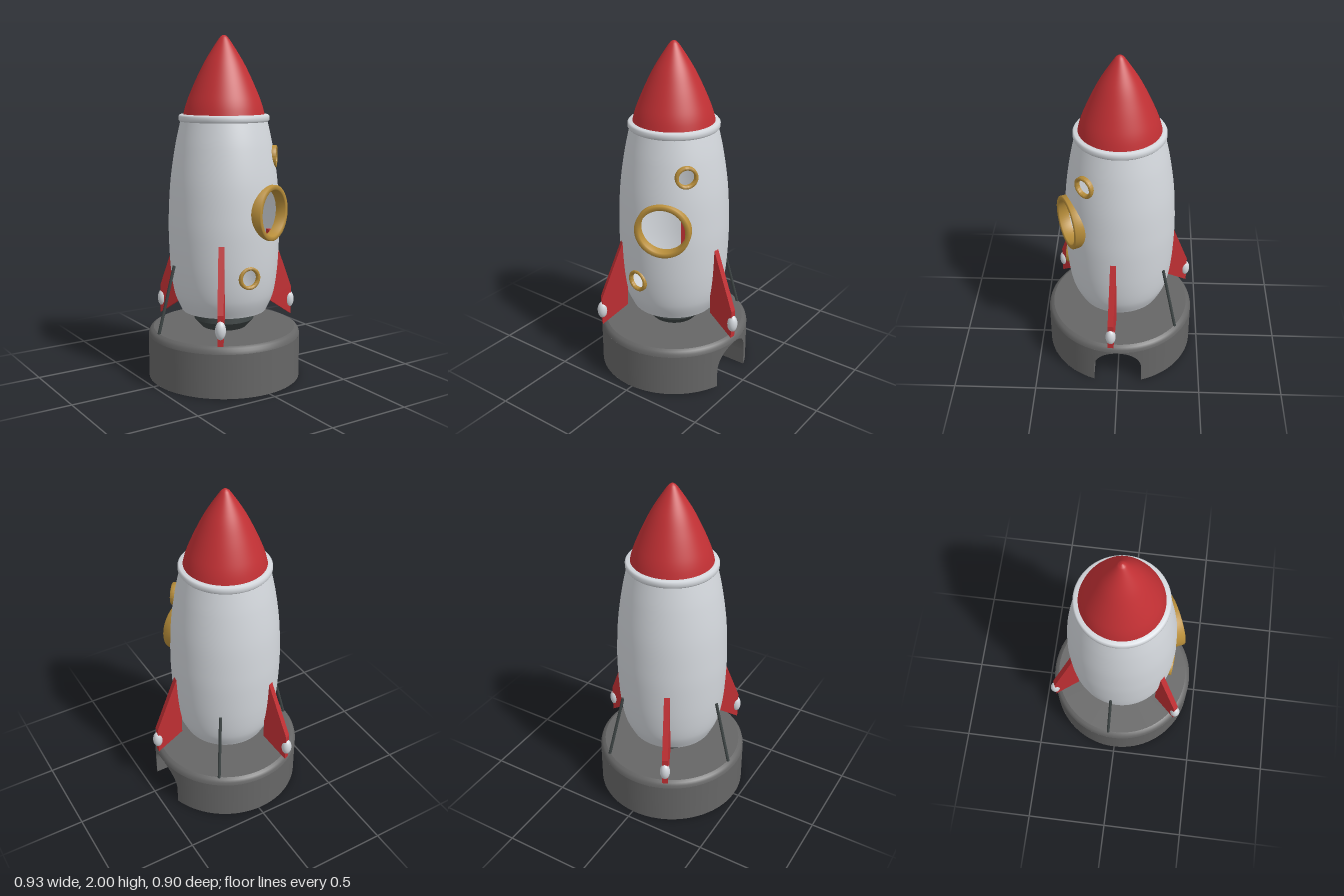
import * as THREE from 'three';
import { toCreasedNormals } from 'three/addons/utils/BufferGeometryUtils.js';

const paint = (name, color) => {
  const m = new THREE.MeshStandardMaterial({ color, side: THREE.DoubleSide });
  m.name = name;
  return m;
};

const rad = THREE.MathUtils.degToRad;
const vecs = (list) => list.map(([x, y]) => new THREE.Vector2(x, y));

// Smooth profile through a few radius/height points
const smooth = (list, n) => new THREE.SplineCurve(vecs(list)).getPoints(n);

// Surface patch from a function of u and v in 0..1
function grid(fn, nu, nv) {
  const pos = [], index = [];
  for (let i = 0; i <= nu; i++)
    for (let j = 0; j <= nv; j++) pos.push(...fn(i / nu, j / nv));
  for (let i = 0; i < nu; i++)
    for (let j = 0; j < nv; j++) {
      const a = i * (nv + 1) + j, b = a + nv + 1;
      index.push(a, b, b + 1, a, b + 1, a + 1);
    }
  const g = new THREE.BufferGeometry();
  g.setAttribute('position', new THREE.Float32BufferAttribute(pos, 3));
  g.setIndex(index);
  g.computeVertexNormals();
  return g;
}

// Portholes: angle from the front toward +x, height, ring radii, radial extent
const PORTHOLES = [
  { name: 'mainPorthole', angle: 25, y: 1.0, outer: 0.16, inner: 0.132, from: 0.275, to: 0.34 },
  { name: 'upperPorthole', angle: 50, y: 1.31, outer: 0.065, inner: 0.046, from: 0.282, to: 0.308 },
  { name: 'lowerPorthole', angle: -5.5, y: 0.645, outer: 0.065, inner: 0.046, from: 0.305, to: 0.327 },
];

// Hull shell with the faces inside each porthole left out
function hullGeometry() {
  const profile = smooth([[0.25, 0.4], [0.292, 0.5], [0.315, 0.65], [0.325, 0.85], [0.323, 1.0],
    [0.311, 1.18], [0.283, 1.37], [0.248, 1.53]], 120);
  const g = new THREE.LatheGeometry(profile, 192, Math.PI);
  const p = g.attributes.position, old = g.index.array, kept = [];
  const c = new THREE.Vector3(), v = new THREE.Vector3();
  for (let i = 0; i < old.length; i += 3) {
    c.set(0, 0, 0);
    for (let k = 0; k < 3; k++) c.add(v.fromBufferAttribute(p, old[i + k]));
    c.divideScalar(3);
    const open = PORTHOLES.some((w) => {
      const s = Math.sin(rad(w.angle)), t = Math.cos(rad(w.angle));
      return c.x * s + c.z * t > 0 && Math.hypot(c.x * t - c.z * s, c.y - w.y) < (w.inner + w.outer) / 2;
    });
    if (!open) kept.push(old[i], old[i + 1], old[i + 2]);
  }
  g.setIndex(kept);
  return g;
}

export function createModel() {
  const white = paint('hull white', 0xd3d7dc);
  const red = paint('red', 0xc23034);
  const gold = paint('brass', 0xb88e3a);
  const grey = paint('base grey', 0x666666);
  const dark = paint('dark metal', 0x3e4545);

  const model = new THREE.Group();
  model.name = 'rocket';
  const root = new THREE.Group();
  root.name = 'rocketOnBase';
  root.position.x = -0.017;
  model.add(root);
  const add = (name, geo, mat, parent = root) => {
    const m = new THREE.Mesh(geo, mat);
    m.name = name;
    parent.add(m);
    return m;
  };
  // Group whose +x points outward at an angle measured from +x toward +z
  const spoke = (name, deg) => {
    const g = new THREE.Group();
    g.name = name;
    g.rotation.y = -rad(deg);
    root.add(g);
    return g;
  };

  // Round base with an arched tunnel on the +x side
  const R = 0.45, H = 0.145, spring = 0.105, back = 0.18, wallTop = 0.255;
  const a0 = Math.asin(H / R);
  const archY = (z) => spring + Math.sqrt(Math.max(0, H * H - z * z));
  add('baseWall', new THREE.CylinderGeometry(R, R, wallTop, 96, 1, true,
    Math.PI / 2 + a0, 2 * Math.PI - 2 * a0).translate(0, wallTop / 2, 0), grey);
  add('wallOverArch', grid((u, v) => {
    const z = -H * Math.cos(Math.PI * u), y = archY(z);
    return [Math.sqrt(R * R - z * z), y + (wallTop - y) * v, z];
  }, 32, 1), grey);
  add('baseShoulder', new THREE.LatheGeometry(
    vecs([[R, wallTop], [0.446, 0.272], [0.436, 0.286], [0.42, 0.295]]), 96), grey);
  add('baseTop', new THREE.CircleGeometry(0.42, 96).rotateX(-Math.PI / 2).translate(0, 0.295, 0), grey);
  const floor = new THREE.Shape();
  floor.moveTo(back, H);
  floor.lineTo(R * Math.cos(a0), H);
  floor.absarc(0, 0, R, a0, 2 * Math.PI - a0, false);
  floor.lineTo(back, -H);
  add('baseBottom', new THREE.ShapeGeometry(floor, 96).rotateX(Math.PI / 2), grey);

  const arch = new THREE.Shape();
  arch.moveTo(-H, 0);
  arch.lineTo(H, 0);
  arch.lineTo(H, spring);
  arch.absarc(0, spring, H, 0, Math.PI, false);
  add('tunnelEnd', new THREE.ShapeGeometry(arch, 32).rotateY(Math.PI / 2).translate(back, 0, 0), grey);
  add('tunnelVault', grid((u, v) => {
    const z = H * Math.cos(Math.PI * u);
    return [back + (Math.sqrt(R * R - z * z) - back) * v, archY(z), z];
  }, 32, 1), grey);
  for (const s of [-1, 1])
    add('tunnelSide', grid((u, v) =>
      [back + (R * Math.cos(a0) - back) * u, spring * v, s * H], 1, 1), grey);

  // Engine nozzle
  add('nozzle', toCreasedNormals(new THREE.LatheGeometry(
    vecs([[0.13, 0.29], [0.178, 0.345], [0.172, 0.41]]), 48), 0.5), dark);

  // Hull, its underside, collar and nose cone
  add('hull', hullGeometry(), white);
  add('hullUnderside', new THREE.RingGeometry(0.16, 0.25, 64, 1).rotateX(Math.PI / 2)
    .translate(0, 0.4, 0), white);
  add('collar', new THREE.LatheGeometry(vecs([[0.235, 1.508], [0.255, 1.51], [0.263, 1.52],
    [0.263, 1.54], [0.255, 1.55], [0.225, 1.552]]), 96), white);
  add('noseCone', new THREE.LatheGeometry(smooth([[0.236, 1.545], [0.222, 1.6], [0.2, 1.66],
    [0.156, 1.76], [0.105, 1.86], [0.035, 1.97], [0.014, 1.994], [0, 2]], 40), 96), red);

  // Brass porthole rings
  for (const w of PORTHOLES) {
    const b = 0.004;
    const ring = new THREE.LatheGeometry(vecs([[w.outer, w.from], [w.outer, w.to - b],
      [w.outer - b, w.to], [w.inner + b, w.to], [w.inner, w.to - b], [w.inner, w.from],
      [w.outer, w.from]]), 64).rotateX(Math.PI / 2);
    const m = add(w.name, toCreasedNormals(ring, 0.9), gold);
    m.position.y = w.y;
    m.rotation.y = rad(w.angle);
  }

  // Three fins with rounded tips
  const finShape = new THREE.Shape(vecs([[0.3, 0.415], [0.46, 0.305], [0.46, 0.48], [0.318, 0.85], [0.297, 0.85]]));
  const finGeo = new THREE.ExtrudeGeometry(finShape, { depth: 0.034, bevelEnabled: false })
    .translate(0, 0, -0.017);
  const tipGeo = new THREE.SphereGeometry(0.03, 24, 16).scale(1, 1.77, 1).translate(0.456, 0.395, 0);
  for (const deg of [5, 125, 245]) {
    const g = spoke('finAssembly', deg);
    add('fin', finGeo, red, g);
    add('finTip', tipGeo, white, g);
  }

  // Two slanted support struts
  for (const deg of [185.5, 305]) {
    const g = spoke('strutAssembly', deg);
    const s = add('strut', new THREE.CylinderGeometry(0.009, 0.009, Math.hypot(0.1, 0.395), 12), dark, g);
    s.position.set(0.372, 0.49, 0);
    s.rotation.z = Math.atan2(0.1, 0.395);
  }

  return model;
}
